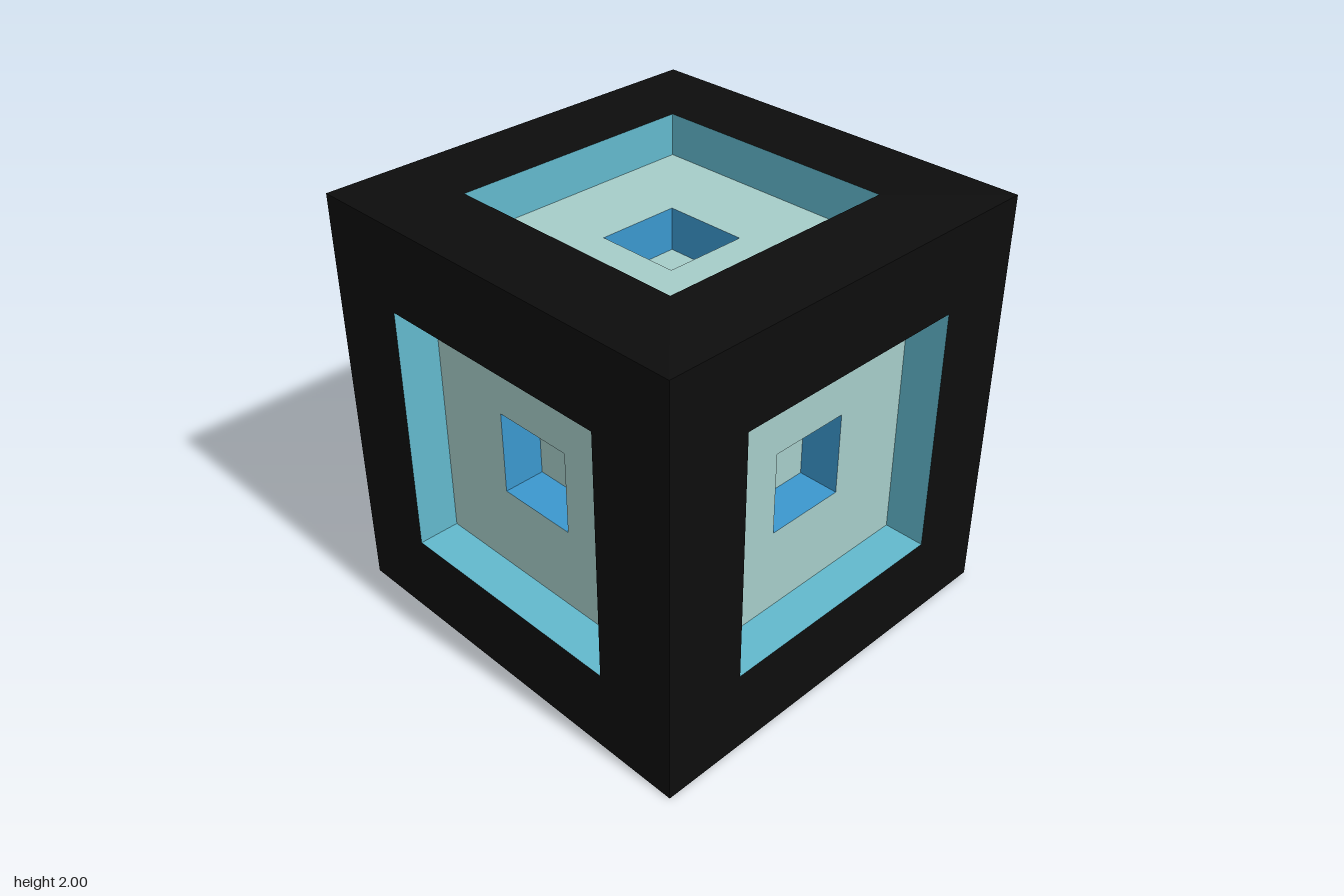
import * as THREE from 'three';
import { mergeGeometries } from 'three/addons/utils/BufferGeometryUtils.js';

const paint = (name, color) => {
  const material = new THREE.MeshStandardMaterial({ color });
  material.name = name;
  return material;
};

// Flat square facing +z, with an optional square hole
function squareFace(size, hole, z) {
  const corners = (s) => [[-s, -s], [s, -s], [s, s], [-s, s]].map(([x, y]) => new THREE.Vector2(x / 2, y / 2));
  const shape = new THREE.Shape(corners(size));
  if (hole) shape.holes.push(new THREE.Path(corners(hole)));
  return new THREE.ShapeGeometry(shape).translate(0, 0, z);
}

// Four walls facing inwards around a square recess
function recessWalls(size, top, depth) {
  const walls = [];
  for (let k = 0; k < 4; k++) {
    walls.push(new THREE.PlaneGeometry(size, depth)
      .rotateX(-Math.PI / 2)
      .translate(0, -size / 2, top - depth / 2)
      .rotateZ(k * Math.PI / 2));
  }
  return mergeGeometries(walls);
}

export function createModel() {
  const black = paint('black', 0x0d0d0d);
  const pale = paint('pale aqua', 0xa5ccc8);
  const teal = paint('light teal', 0x62b8cc);
  const blue = paint('blue', 0x3b97cd);

  // Stepped recess layers, from the outer face inwards
  const layers = [
    ['frame', squareFace(2, 1.2, 1), black],
    ['recessWalls', recessWalls(1.2, 1, 0.2), teal],
    ['recessFloor', squareFace(1.2, 0.4, 0.8), pale],
    ['wellWalls', recessWalls(0.4, 0.8, 0.2), blue],
    ['wellFloor', squareFace(0.4, 0, 0.6), pale],
  ];

  // The same side repeated on all six faces of the cube
  const q = Math.PI / 2;
  const sides = {
    frontSide: [0, 0], leftSide: [0, q], backSide: [0, 2 * q],
    rightSide: [0, -q], topSide: [-q, 0], bottomSide: [q, 0],
  };
  const model = new THREE.Group();
  model.name = 'recessedCube';
  for (const [name, [rx, ry]] of Object.entries(sides)) {
    const side = new THREE.Group();
    side.name = name;
    side.rotation.set(rx, ry, 0);
    side.position.y = 1;
    for (const [part, geometry, material] of layers) {
      const mesh = new THREE.Mesh(geometry, material);
      mesh.name = part;
      side.add(mesh);
    }
    model.add(side);
  }
  return model;
}
